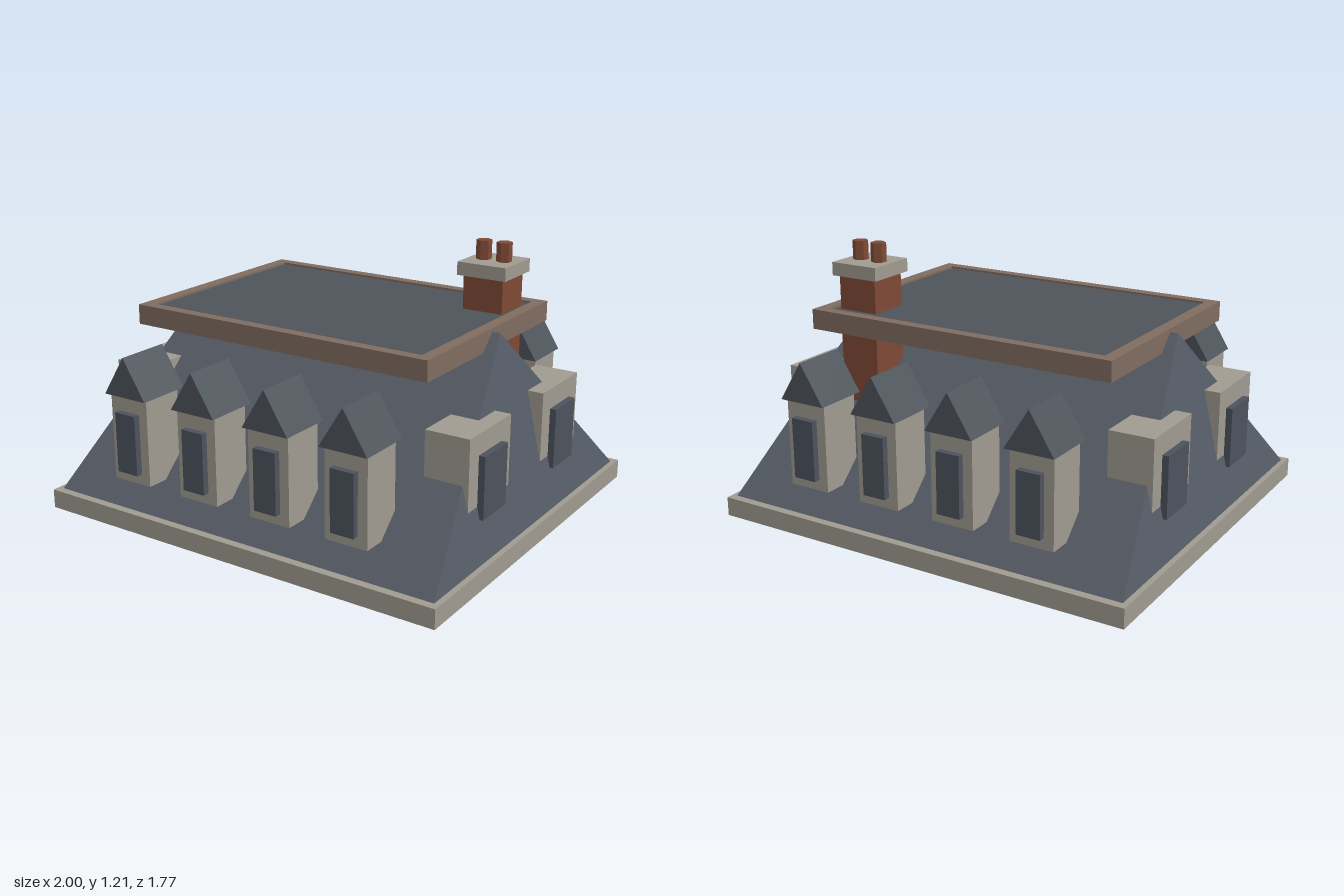
import * as THREE from 'three';

const mat = (name, color) => {
  const m = new THREE.MeshStandardMaterial({ color });
  m.name = name;
  return m;
};

export function createModel() {
  const stone = mat('stone', 0xa09b90);
  const slate = mat('slate', 0x565c66);
  const darkSlate = mat('dark slate', 0x4d545a);
  const glass = mat('window glass', 0x4c525d);
  const trim = mat('brown trim', 0x806c60);
  const brick = mat('brick', 0x7e4934);

  const model = new THREE.Group();
  model.name = 'mansardRoof';

  const add = (parent, name, geometry, material) => {
    const mesh = new THREE.Mesh(geometry, material);
    mesh.name = name;
    parent.add(mesh);
    return mesh;
  };
  // Box given by its limits on each axis
  const box = (parent, name, material, [x0, x1], [y0, y1], [z0, z1]) => {
    const mesh = add(parent, name, new THREE.BoxGeometry(x1 - x0, y1 - y0, z1 - z0), material);
    mesh.position.set((x0 + x1) / 2, (y0 + y1) / 2, (z0 + z1) / 2);
    return mesh;
  };

  // Eaves slab
  box(model, 'eavesSlab', stone, [-1, 1], [0, 0.087], [-0.885, 0.885]);

  // Steep hipped roof: a box whose top is pinched into a ridge
  const roof = new THREE.BoxGeometry(1.95, 0.82, 1.7).toNonIndexed();
  const p = roof.attributes.position;
  for (let i = 0; i < p.count; i++) {
    if (p.getY(i) > 0) p.setXYZ(i, Math.sign(p.getX(i)) * 0.782, p.getY(i), 0);
  }
  roof.computeVertexNormals();
  add(model, 'mainRoof', roof, slate).position.y = 0.495 - 0.0;
  model.children.at(-1).position.y = 0.495;

  // Flat roof deck inside a raised frame
  const rect = (Type, w, d) => new Type([
    new THREE.Vector2(-w, -d), new THREE.Vector2(w, -d),
    new THREE.Vector2(w, d), new THREE.Vector2(-w, d),
  ]);
  const frameShape = rect(THREE.Shape, 0.745, 0.535);
  frameShape.holes.push(rect(THREE.Path, 0.69, 0.485));
  const frame = new THREE.ExtrudeGeometry(frameShape, { depth: 0.09, bevelEnabled: false });
  frame.rotateX(-Math.PI / 2);
  add(model, 'deckFrame', frame, trim).position.y = 0.83;
  box(model, 'roofDeck', darkSlate, [-0.69, 0.69], [0.84, 0.91], [-0.485, 0.485]);

  // Gabled dormers, four along the front and four along the back
  const gable = new THREE.Shape([
    new THREE.Vector2(-0.113, 0.603), new THREE.Vector2(0.113, 0.603), new THREE.Vector2(0, 0.783),
  ]);
  const gableRoof = new THREE.ExtrudeGeometry(gable, { depth: 0.25, bevelEnabled: false });
  gableRoof.translate(0, 0, 0.598);
  for (const turn of [0, Math.PI]) {
    const row = new THREE.Group();
    row.name = turn ? 'backDormers' : 'frontDormers';
    row.rotation.y = turn;
    model.add(row);
    for (let i = 0; i < 4; i++) {
      const dormer = new THREE.Group();
      dormer.name = 'gabledDormer';
      dormer.position.x = -0.56 + i * 0.3733;
      row.add(dormer);
      box(dormer, 'dormerBody', stone, [-0.1, 0.1], [0.207, 0.605], [0.623, 0.824]);
      box(dormer, 'dormerWindow', glass, [-0.055, 0.055], [0.257, 0.53], [0.815, 0.854]);
      add(dormer, 'dormerRoof', gableRoof, darkSlate);
    }
  }

  // Flat-topped dormers, two on each end
  for (const s of [1, -1]) {
    for (const z of [0.327, -0.327]) {
      const dormer = new THREE.Group();
      dormer.name = s > 0 ? 'leftDormer' : 'rightDormer';
      dormer.position.set(s * 0.82, 0, z);
      model.add(dormer);
      const span = (a, b) => (s > 0 ? [a, b] : [-b, -a]);
      box(dormer, 'dormerBody', stone, span(-0.1, 0.102), [0.27, 0.622], [-0.175, 0.175]);
      box(dormer, 'dormerWindow', glass, span(0.09, 0.131), [0.257, 0.53], [-0.097, 0.097]);
    }
  }

  // Chimney with cap and two hexagonal pots
  const chimney = new THREE.Group();
  chimney.name = 'chimney';
  chimney.position.set(0.569, 0, -0.337);
  model.add(chimney);
  box(chimney, 'chimneyStack', brick, [-0.096, 0.096], [0.42, 1.067], [-0.096, 0.096]);
  box(chimney, 'chimneyCap', stone, [-0.118, 0.118], [1.065, 1.125], [-0.118, 0.118]);
  for (const x of [-0.05, 0.05]) {
    const pot = new THREE.CylinderGeometry(0.035, 0.035, 0.09, 6).toNonIndexed();
    pot.computeVertexNormals();
    add(chimney, 'chimneyPot', pot, brick).position.set(x, 1.166, 0);
  }

  return model;
}
